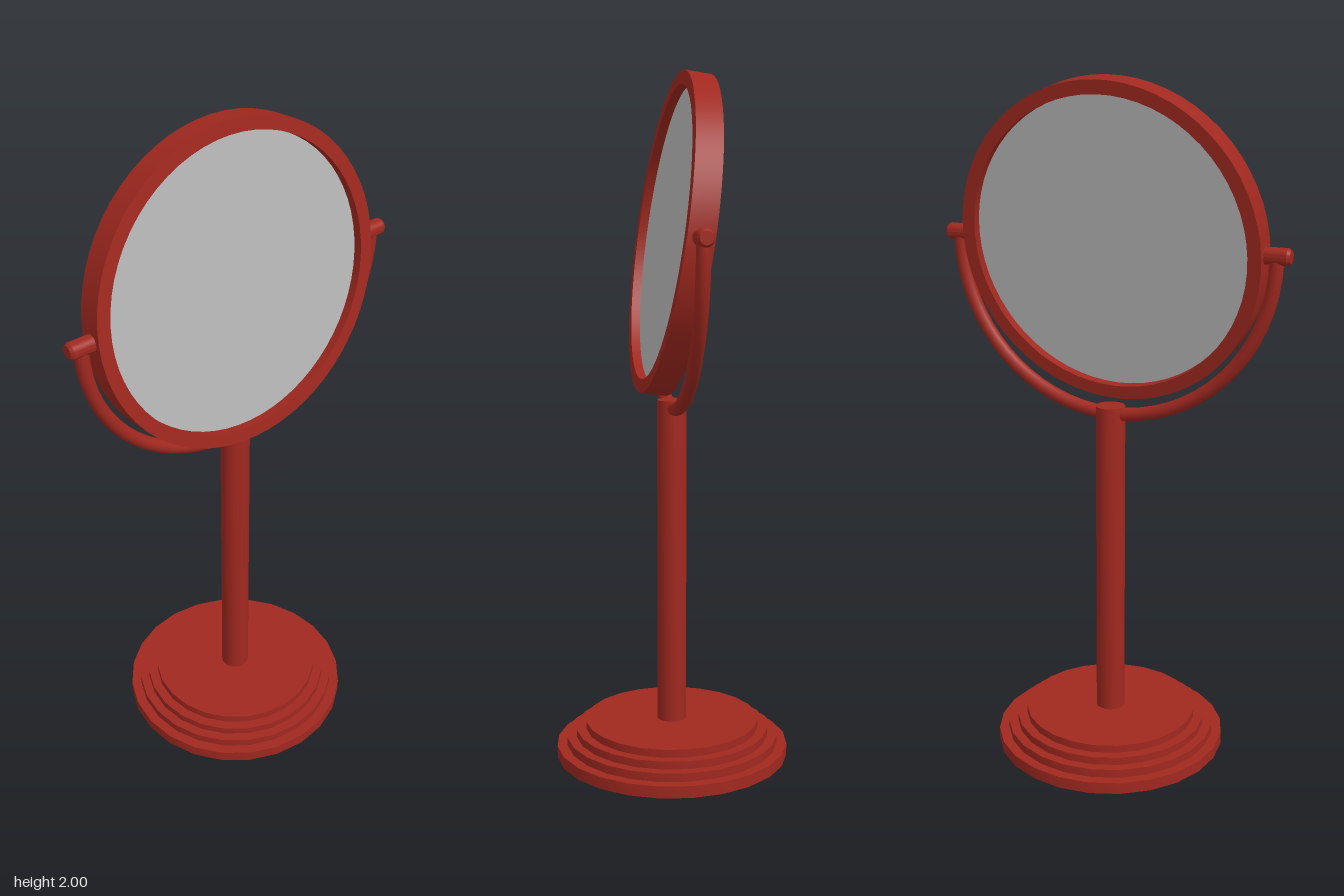
import * as THREE from 'three';
import { toCreasedNormals } from 'three/addons/utils/BufferGeometryUtils.js';

const red = new THREE.MeshStandardMaterial({ color: 0xa0281f });
const glass = new THREE.MeshStandardMaterial({ color: 0xb8b8b8 });

// Spins [radius, height] pairs around y, keeping the steps sharp
function lathe(name, profile, segments) {
  const points = profile.map(([r, y]) => new THREE.Vector2(r, y));
  const geometry = toCreasedNormals(new THREE.LatheGeometry(points, segments), 0.6);
  const mesh = new THREE.Mesh(geometry, red);
  mesh.name = name;
  return mesh;
}

export function createModel() {
  const model = new THREE.Group();
  model.name = 'standMirror';
  const centreY = 1.543;

  // Stepped round foot
  model.add(lathe('base', [
    [0, 0], [0.345, 0], [0.345, 0.035], [0.315, 0.035], [0.315, 0.06],
    [0.287, 0.06], [0.287, 0.083], [0.258, 0.083], [0.258, 0.106], [0, 0.106],
  ], 24));

  // Upright post
  model.add(lathe('post', [[0, 0.1], [0.043, 0.1], [0.043, 1.07], [0, 1.07]], 24));

  // Half-circle fork carrying the mirror
  const fork = new THREE.Mesh(new THREE.TorusGeometry(0.488, 0.02, 12, 32, Math.PI), red);
  fork.name = 'fork';
  fork.rotation.z = Math.PI;
  fork.position.y = 1.535;
  model.add(fork);

  // Pivot pins with softened outer ends
  for (const side of [1, -1]) {
    const pin = lathe(side > 0 ? 'leftPin' : 'rightPin', [
      [0, 0.44], [0.024, 0.44], [0.024, 0.52], [0.018, 0.528], [0, 0.528],
    ], 16);
    pin.rotation.z = -side * Math.PI / 2;
    pin.position.y = centreY;
    model.add(pin);
  }

  // Tilted head: rim with a recessed glass showing on both faces
  const head = new THREE.Group();
  head.name = 'mirrorHead';
  head.position.y = centreY;
  head.rotation.x = -THREE.MathUtils.degToRad(8);
  const rim = lathe('rim', [
    [0.418, -0.037], [0.457, -0.037], [0.457, 0.037], [0.418, 0.037], [0.418, -0.037],
  ], 64);
  rim.rotation.x = Math.PI / 2;
  const mirror = new THREE.Mesh(new THREE.CylinderGeometry(0.422, 0.422, 0.02, 64), glass);
  mirror.name = 'mirrorGlass';
  mirror.rotation.x = Math.PI / 2;
  head.add(rim, mirror);
  model.add(head);

  return model;
}
